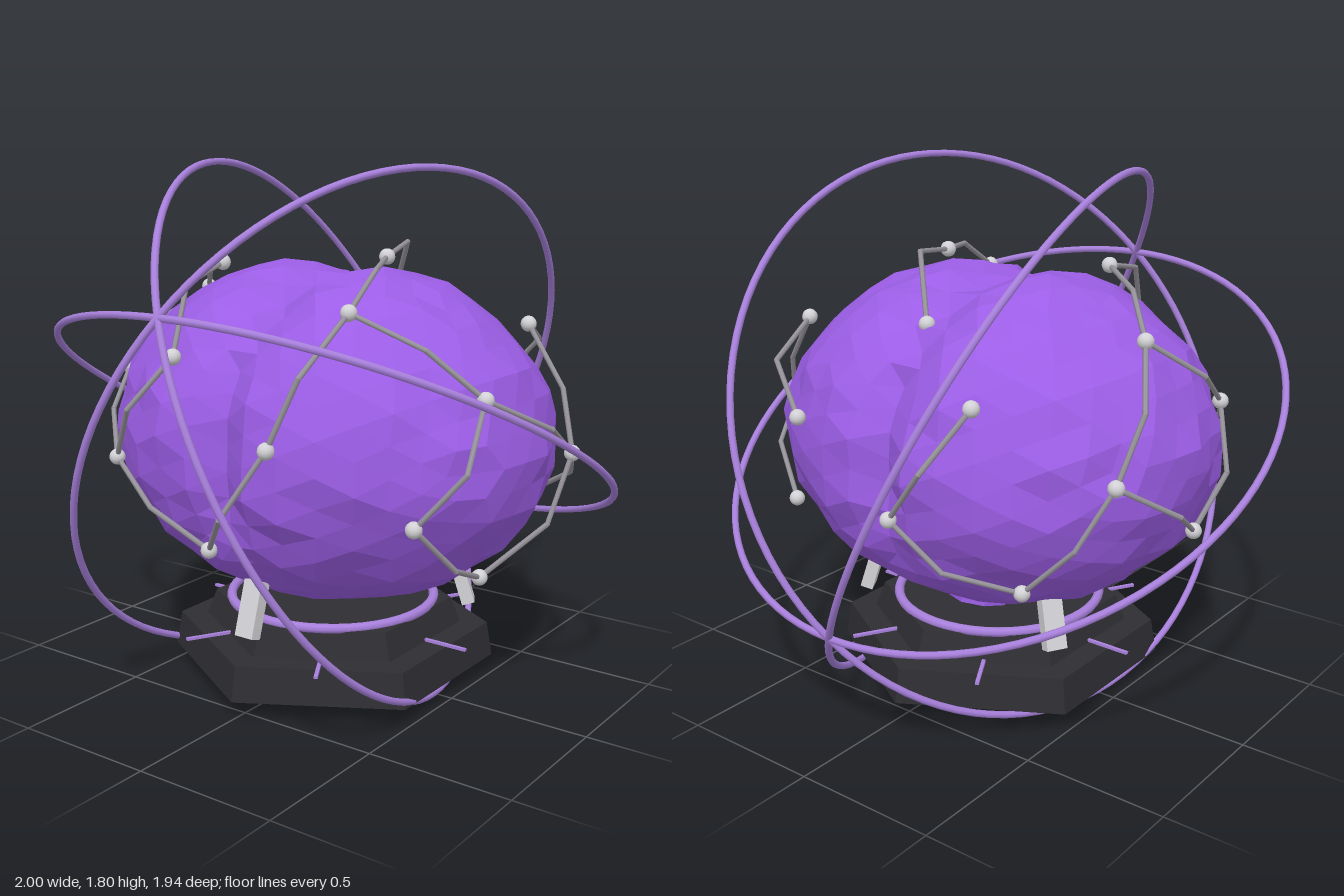
import * as THREE from 'three';

const mat = (name, color, flat = false) => {
  const m = new THREE.MeshStandardMaterial({ color, flatShading: flat });
  m.name = name;
  return m;
};

export function createModel() {
  const model = new THREE.Group();
  model.name = 'brainOnStand';
  const purple = mat('brainPurple', 0x9b5de5, true);
  const lilac = mat('ringLilac', 0xa880dc);
  const black = mat('baseBlack', 0x2e2e33, true);
  const silver = mat('silver', 0xd2d2d6);
  const wireGrey = mat('wireGrey', 0x98949c);

  const add = (parent, name, geometry, material, x = 0, y = 0, z = 0) => {
    const mesh = new THREE.Mesh(geometry, material);
    mesh.name = name;
    mesh.position.set(x, y, z);
    parent.add(mesh);
    return mesh;
  };

  // Faceted brain: roughened ellipsoid with a cleft between the two halves
  const brain = new THREE.IcosahedronGeometry(1, 6);
  const pos = brain.attributes.position;
  const v = new THREE.Vector3();
  const hash = (p, k) => {
    const s = Math.round(p.x * 500) * 12.99 + Math.round(p.y * 500) * 78.23 + Math.round(p.z * 500) * 37.72;
    const n = Math.sin(s * 0.731 + k * 4.1) * 4375.85;
    return n - Math.floor(n) - 0.5;
  };
  for (let i = 0; i < pos.count; i++) {
    v.fromBufferAttribute(pos, i);
    const jitter = 1 + 0.035 * hash(v, 1);
    const upper = THREE.MathUtils.smoothstep(v.y, -0.75, -0.1);
    const cleft = 1 - upper * 0.14 * Math.exp(-((v.x / 0.12) ** 2));
    const f = jitter * cleft;
    pos.setXYZ(i, v.x * f * 0.79, v.y * f * 0.58, v.z * f * 0.67);
  }
  brain.computeVertexNormals();
  add(model, 'brain', brain, purple, 0, 0.89, 0);
  const stem = add(model, 'brainStem', new THREE.CylinderGeometry(0.13, 0.11, 0.2, 8), purple, 0, 0.38, -0.09);
  stem.rotation.x = 0.2;

  // Three orbit rings crossing at one tilted axis
  const orbits = new THREE.Group();
  orbits.name = 'orbitRings';
  orbits.position.y = 0.9;
  orbits.rotation.x = -0.5;
  for (let i = 0; i < 3; i++) {
    const ring = new THREE.TorusGeometry(0.987, 0.012, 8, 96).rotateX(Math.PI / 2).rotateZ(i * Math.PI / 3);
    add(orbits, 'orbitRing', ring, lilac);
  }
  model.add(orbits);

  // Stepped hexagonal base with a glowing ring and radial strips
  add(model, 'lowerBase', new THREE.CylinderGeometry(0.55, 0.57, 0.12, 6), black, 0, 0.125, 0);
  add(model, 'upperBase', new THREE.CylinderGeometry(0.42, 0.455, 0.09, 6), black, 0, 0.23, 0);
  const baseRing = new THREE.TorusGeometry(0.36, 0.017, 8, 48).rotateX(Math.PI / 2);
  add(model, 'baseRing', baseRing, lilac, 0, 0.282, 0);
  for (let i = 0; i < 6; i++) {
    const strip = new THREE.BoxGeometry(0.2, 0.009, 0.013).translate(0.45, 0.19, 0).rotateY(i * Math.PI / 3);
    add(model, 'baseStrip', strip, lilac);
  }

  // Three leaning supports
  for (let i = 0; i < 3; i++) {
    const support = new THREE.BoxGeometry(0.072, 0.19, 0.045)
      .rotateX(-0.3).translate(0, 0.355, 0.455).rotateY(i * Math.PI * 2 / 3);
    add(model, 'support', support, silver);
  }

  // Circuit nodes around the brain
  const nodes = {
    A: [0.22, 1.49, 0], B: [0.34, 1.36, 0.39], C: [0.26, 0.98, 0.7], D: [-0.03, 0.6, 0.63],
    E: [0.73, 1.11, 0.23], F: [0.83, 0.88, -0.17], G: [0.62, 0.74, 0.45], H: [0.64, 0.49, 0.08],
    I: [0.58, 1.26, -0.32], J: [0.34, 1.02, -0.63], K: [-0.35, 1.17, -0.59], L: [-0.1, 0.79, -0.69],
    M: [0.03, 1.32, -0.34], N: [-0.29, 1.46, 0.23], O: [-0.64, 1.32, -0.1], P: [-0.72, 1.06, 0.25],
    Q: [-0.19, 1.2, 0.6], S: [-0.47, 0.83, 0.58], U: [-0.77, 0.69, 0.02], V: [-0.72, 0.94, -0.37],
    W: [-0.45, 0.56, -0.47], X: [0.54, 0.64, -0.46],
  };
  const circuit = new THREE.Group();
  circuit.name = 'circuit';
  model.add(circuit);
  const ball = new THREE.SphereGeometry(0.027, 14, 10);
  for (const p of Object.values(nodes)) add(circuit, 'node', ball, silver, ...p);

  // Wires: a pair of nodes and the bend between them
  const rod = (a, b) => {
    const dir = b.clone().sub(a);
    const mesh = add(circuit, 'wire', new THREE.CylinderGeometry(0.009, 0.009, dir.length() + 0.006, 6), wireGrey);
    mesh.position.copy(a).add(b).multiplyScalar(0.5);
    mesh.quaternion.setFromUnitVectors(new THREE.Vector3(0, 1, 0), dir.normalize());
  };
  const wires = [
    ['MA', 0.165, 1.52, -0.21], ['AB', 0.31, 1.47, 0.2], ['BC', 0.35, 1.2, 0.66], ['CD', 0.15, 0.77, 0.79],
    ['DS', -0.25, 0.71, 0.66], ['SP', -0.62, 0.95, 0.44], ['QN', -0.25, 1.41, 0.46], ['QS', -0.31, 1.03, 0.69],
    ['NO', -0.49, 1.43, 0.06], ['OP', -0.76, 1.19, 0.07], ['PU', -0.81, 0.86, 0.15], ['OV', -0.75, 1.15, -0.27],
    ['VU', -0.84, 0.82, -0.19], ['KL', -0.27, 0.99, -0.74], ['LW', -0.27, 0.64, -0.64], ['WV', -0.63, 0.74, -0.45],
    ['IJ', 0.5, 1.17, -0.56], ['IF', 0.75, 1.07, -0.25], ['FH', 0.8, 0.66, -0.07], ['FX', 0.75, 0.77, -0.33],
    ['EF', 0.855, 1.0, 0.03], ['BE', 0.58, 1.26, 0.33], ['EG', 0.77, 0.92, 0.4], ['GH', 0.68, 0.58, 0.3],
  ];
  for (const [ends, ...bend] of wires) {
    const mid = new THREE.Vector3(...bend);
    for (const e of ends) rod(new THREE.Vector3(...nodes[e]), mid);
  }
  return model;
}
